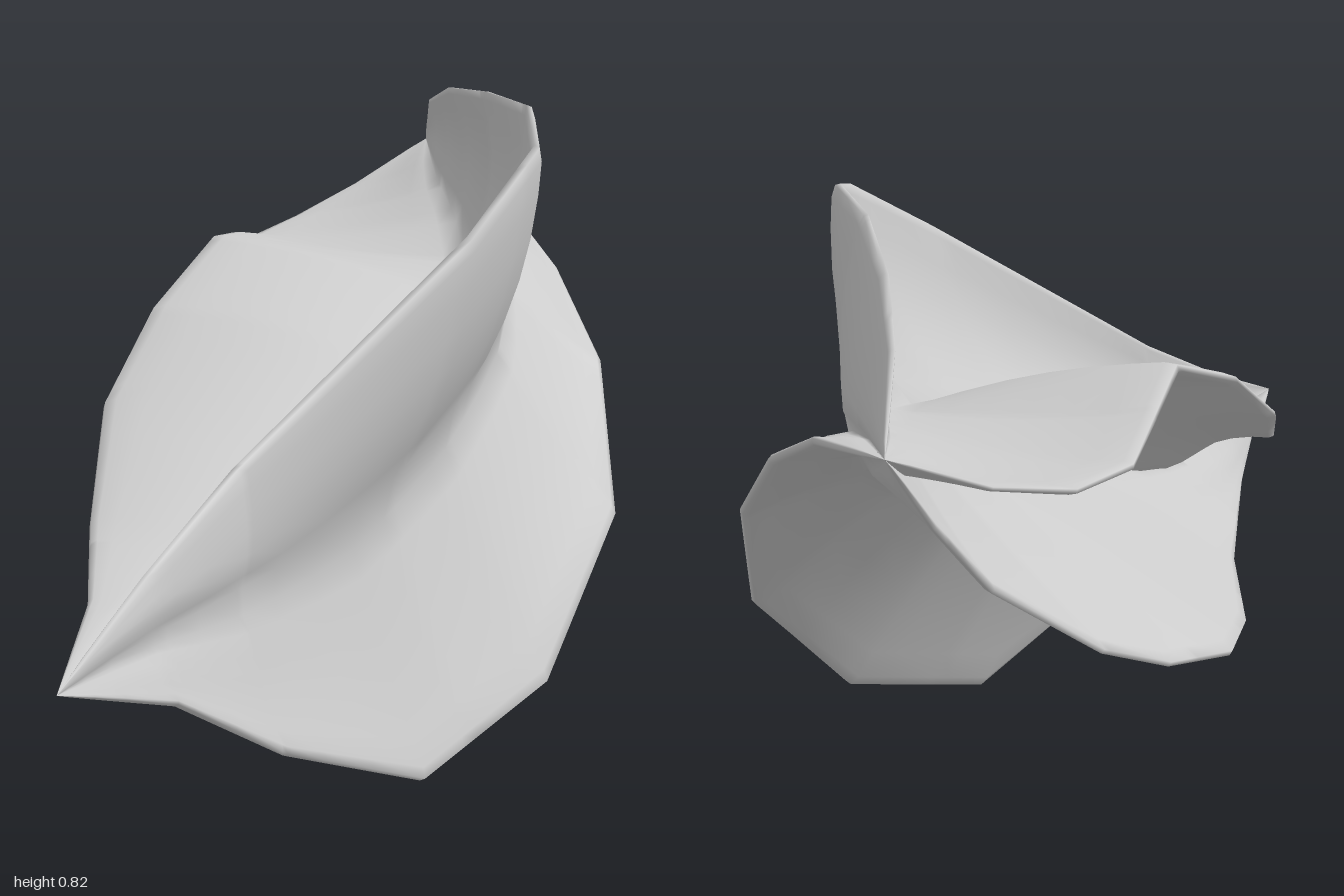
import * as THREE from 'three';

const FRONT = [1, -0.065, 0.28];
const BACK = [-1, -0.15, 0.68];

// Central spine as [z, x, y]
const spine = [FRONT, [0.75, -0.055, 0.28], [0.5, -0.025, 0.285], [0.25, 0.028, 0.335],
  [0, 0.075, 0.415], [-0.3, 0.09, 0.507], [-0.55, 0.03, 0.575], [-0.78, -0.065, 0.628], BACK];

// Outer rim of each fin as [z, x, y], counter-clockwise seen from the front;
// bow is the sideways bulge relative to the fin's width, at the front and at the back
const fins = [
  { bow: [-0.1, -0.1], rim: [FRONT, [0.75, -0.045, 0.36], [0.53, 0, 0.45], [0.15, 0.2, 0.69], [-0.06, 0.24, 0.785],
    [-0.23, 0.19, 0.82], [-0.4, 0.09, 0.82], [-0.63, -0.02, 0.8], [-0.83, -0.1, 0.76], BACK] },
  { bow: [-0.1, 0.02], rim: [FRONT, [0.7, -0.13, 0.315], [0.45, -0.213, 0.355], [0.18, -0.285, 0.455], [-0.02, -0.283, 0.55],
    [-0.25, -0.268, 0.618], [-0.42, -0.29, 0.6], [-0.57, -0.305, 0.575], [-0.73, -0.285, 0.585], [-0.87, -0.23, 0.62], BACK] },
  { bow: [0, 0], rim: [FRONT, [0.85, -0.075, 0.24], [0.7, -0.1, 0.21], [0.36, -0.18, 0.188], [0.05, -0.28, 0.197], [-0.14, -0.312, 0.215],
    [-0.3, -0.275, 0.245], [-0.41, -0.22, 0.29], [-0.57, -0.13, 0.405], [-0.78, -0.13, 0.54], BACK] },
  { bow: [0, 0], rim: [FRONT, [0.73, -0.012, 0.205], [0.52, 0.06, 0.095], [0.26, 0.168, 0.001], [0, 0.27, 0.073],
    [-0.24, 0.312, 0.255], [-0.43, 0.25, 0.435], [-0.57, 0.155, 0.545], [-0.75, 0.03, 0.625], BACK] },
];

// Point on a [z, x, y] polyline at the given z
function pointAt(path, z) {
  let i = 0;
  while (i < path.length - 2 && path[i + 1][0] > z) i++;
  const [a, b] = [path[i], path[i + 1]];
  const k = (a[0] - z) / (a[0] - b[0]);
  return new THREE.Vector2(a[1] + (b[1] - a[1]) * k, a[2] + (b[2] - a[2]) * k);
}

// Smooth version of the spine
const spineCurve = new THREE.CatmullRomCurve3(spine.map(([z, x, y]) => new THREE.Vector3(x, y, z)));
const smoothSpine = spineCurve.getPoints(80).map((p) => [p.z, p.x, p.y]);

const STEPS = [0.14, 0.25, 0.4, 0.55, 0.7, 0.85, 0.96, 1];

// Closed star-shaped cross-section: out along one face of each fin, back along the other
function section(z) {
  const core = pointAt(smoothSpine, z);
  const taper = Math.sqrt(Math.max(0, 1 - z * z));
  const ring = [];
  for (const { rim, bow } of fins) {
    const dir = pointAt(rim, z).sub(core);
    const normal = new THREE.Vector2(-dir.y, dir.x);
    const width = normal.length() || 1;
    const bulge = THREE.MathUtils.lerp(bow[0], bow[1], THREE.MathUtils.smoothstep(-z, 0.1, 0.5));
    const face = (t, side) => {
      const half = Math.min(taper * (0.035 * (1 - t) ** 2 + (t === 1 ? 0.004 : 0.008)), width * 0.12);
      const shift = bulge * 4 * t * (1 - t) + side * half / width;
      return core.clone().addScaledVector(dir, t).addScaledVector(normal, shift);
    };
    for (const t of STEPS) ring.push(face(t, -1));
    for (const t of [...STEPS].reverse()) ring.push(face(t, 1));
  }
  return ring;
}

// Loft the sections from the front tip to the back tip, with one at every rim corner
function twistedFins() {
  const corners = fins.flatMap(({ rim }) => rim.map(([z]) => z));
  const levels = [...new Set([...corners, 0.97, 0.92, 0.62, -0.92, -0.97])].sort((a, b) => b - a);
  const positions = [];
  const index = [];
  let count = 0;
  for (const z of levels) {
    const ring = section(z * 0.9995);
    count = ring.length;
    for (const p of ring) positions.push(p.x, p.y, z);
  }
  for (let i = 0; i < levels.length - 1; i++) {
    for (let j = 0; j < count; j++) {
      const a = i * count + j;
      const b = i * count + ((j + 1) % count);
      index.push(a, a + count, b, b, a + count, b + count);
    }
  }
  const geometry = new THREE.BufferGeometry();
  geometry.setAttribute('position', new THREE.Float32BufferAttribute(positions, 3));
  geometry.setIndex(index);
  geometry.computeVertexNormals();
  return geometry;
}

export function createModel() {
  const group = new THREE.Group();
  group.name = 'twistedPod';
  const material = new THREE.MeshStandardMaterial({ color: 0xcccccc, side: THREE.DoubleSide });
  const body = new THREE.Mesh(twistedFins(), material);
  body.name = 'finnedBody';
  group.add(body);
  return group;
}
